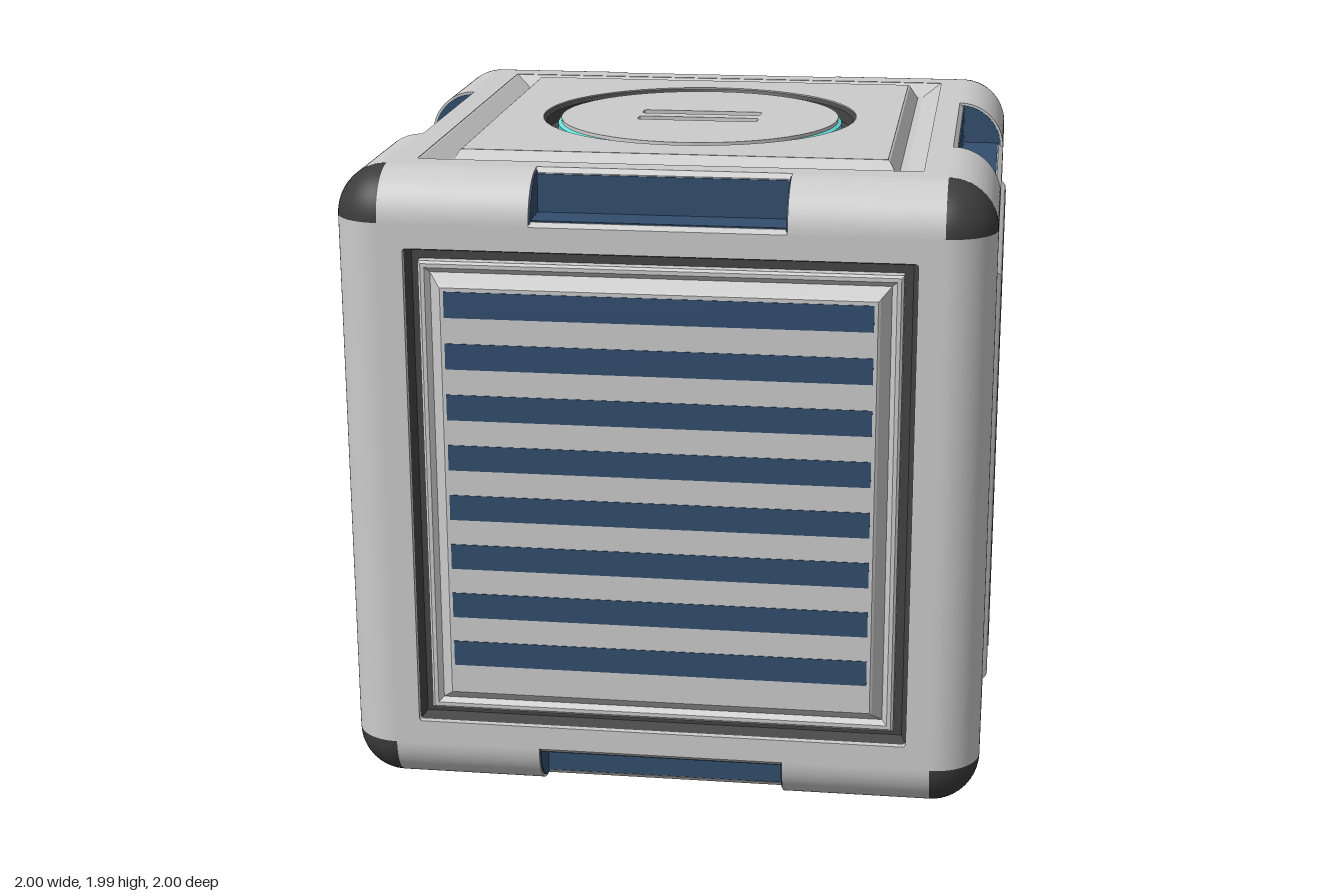
import * as THREE from 'three';
import { toCreasedNormals } from 'three/addons/utils/BufferGeometryUtils.js';

const mat = (color) => new THREE.MeshStandardMaterial({ color, side: THREE.DoubleSide });
const GREY = mat(0xcccccc), DARK = mat(0x444444), CAP = mat(0x3c3c3c), BLUE = mat(0x324e6e), CYAN = mat(0x66e0dd);
const F = 0.985, R = 0.15, C = F - R, POCKET = 0.38, MID = 0.995;

function add(parent, name, geo, material, x = 0, y = 0, z = 0) {
  const m = new THREE.Mesh(geo, material);
  m.name = name;
  m.position.set(x, y, z);
  parent.add(m);
  return m;
}

// Square profile swept round the z axis; points are [half width, height]
function squareLathe(points) {
  const pts = points.map(([w, h]) => new THREE.Vector2(w * Math.SQRT2, h));
  const g = new THREE.LatheGeometry(pts, 4).rotateY(Math.PI / 4).rotateX(Math.PI / 2).toNonIndexed();
  g.computeVertexNormals();
  return g;
}

function roundLathe(points, segments = 48) {
  const g = new THREE.LatheGeometry(points.map((p) => new THREE.Vector2(...p)), segments).rotateX(Math.PI / 2);
  return toCreasedNormals(g, 0.4);
}

function extrude(shape, z0, z1) {
  const g = new THREE.ExtrudeGeometry(shape, { depth: z1 - z0, bevelEnabled: false, curveSegments: 24 });
  return toCreasedNormals(g.translate(0, 0, z0), 0.5);
}

function rectPath(Type, w, h, r, cy = 0) {
  const p = new Type();
  p.moveTo(-w + r, cy - h);
  p.lineTo(w - r, cy - h);
  p.quadraticCurveTo(w, cy - h, w, cy - h + r);
  p.lineTo(w, cy + h - r);
  p.quadraticCurveTo(w, cy + h, w - r, cy + h);
  p.lineTo(-w + r, cy + h);
  p.quadraticCurveTo(-w, cy + h, -w, cy + h - r);
  p.lineTo(-w, cy - h + r);
  p.quadraticCurveTo(-w, cy - h, -w + r, cy - h);
  return p;
}

function polygon(points) {
  return new THREE.Shape(points.map((p) => new THREE.Vector2(...p)));
}

function quarterDisc(r) {
  const s = new THREE.Shape();
  s.moveTo(C, C);
  s.lineTo(C + r, C);
  s.absarc(C, C, r, 0, Math.PI / 2, false);
  s.lineTo(C, C);
  return s;
}

function place(parent, name, rx, ry) {
  const g = new THREE.Group();
  g.name = name;
  g.rotation.set(rx, ry, 0, 'YXZ');
  parent.add(g);
  return g;
}

// Flat square border common to all six faces
function faceFrame() {
  const s = rectPath(THREE.Shape, C, C, 0.001);
  s.holes.push(rectPath(THREE.Path, 0.76, 0.76, 0.012));
  return extrude(s, 0.9, F);
}

// Side face: dark gasket, bevelled panel and eight stripes
function buildSide(face) {
  add(face, 'gasket', squareLathe([[0.765, 0.978], [0.745, 0.93], [0.7, 0.93]]), DARK);
  add(face, 'ventPanel', squareLathe([
    [0.72, 0.92], [0.72, 0.962], [0.712, 0.968], [0.7, 0.968], [0.685, 0.955], [0.655, 0.993], [0.648, 0.998], [0, 0.998],
  ]), GREY);
  const stripe = new THREE.BoxGeometry(1.274, 0.08, 0.02);
  for (let i = 0; i < 8; i++) add(face, 'ventStripe', stripe, BLUE, 0, 0.04 + (i - 3.5) * 0.159, 0.99);
}

const trench = [[0.765, 0.985], [0.755, 0.982], [0.7, 0.945], [0.682, 0.945], [0.655, 0.99], [0.648, MID]];

// Top face: raised panel with a round hatch set in a trench
function buildTop(face) {
  add(face, 'panelBorder', squareLathe(trench), GREY);
  const plate = rectPath(THREE.Shape, 0.649, 0.649, 0.001);
  plate.holes.push(new THREE.Path().absarc(0, 0, 0.51, 0, Math.PI * 2, true));
  add(face, 'topPanel', extrude(plate, 0.92, MID), GREY);
  add(face, 'hatchRim', roundLathe([[0.512, 0.993], [0.5, 0.98], [0.497, 0.945], [0.455, 0.945]]), DARK);
  add(face, 'hatchGlowRing', roundLathe([[0.463, 0.94], [0.463, 0.975], [0.45, 0.982]]), CYAN);
  const disc = new THREE.Shape().absarc(0, 0, 0.452, 0, Math.PI * 2, false);
  for (const y of [-0.055, 0.055]) disc.holes.push(rectPath(THREE.Path, 0.195, 0.028, 0.014, y));
  add(face, 'hatch', extrude(disc, 0.92, 0.992), GREY);
  add(face, 'hatchSlotFloor', new THREE.BoxGeometry(0.44, 0.2, 0.02), BLUE, 0, 0, 0.95);
}

function buildBottom(face) {
  add(face, 'bottomPanel', squareLathe([...trench, [0, MID]]), GREY);
}

export function createModel() {
  const model = new THREE.Group();
  model.name = 'crate';
  const body = new THREE.Group();
  body.name = 'body';
  body.position.y = MID;
  model.add(body);

  // Faces
  const frameGeo = faceFrame();
  const H = Math.PI / 2;
  const faces = [
    ['front', 0, 0, buildSide], ['left', 0, H, buildSide], ['back', 0, 2 * H, buildSide],
    ['right', 0, 3 * H, buildSide], ['top', -H, 0, buildTop], ['bottom', H, 0, buildBottom],
  ];
  for (const [name, rx, ry, build] of faces) {
    const face = place(body, name + 'Face', rx, ry);
    add(face, 'faceFrame', frameGeo, GREY);
    build(face);
  }

  // Rounded edges: plain uprights, pocketed top and bottom rails
  const upright = extrude(quarterDisc(R), -C, C);
  const railEnd = extrude(quarterDisc(R), POCKET, C);
  const railEnd2 = extrude(quarterDisc(R), -C, -POCKET);
  const lip = extrude(polygon([
    [C, C], [F, C], [0.97, 0.848], [0.848, 0.848], [0.848, 0.97], [C, F],
  ]), -POCKET, POCKET);
  const lining = extrude(polygon([
    [0.84, 0.84], [0.967, 0.84], [0.967, 0.852], [0.852, 0.852], [0.852, 0.967], [0.84, 0.967],
  ]), -POCKET, POCKET);
  const liningEnd = quarterDisc(R - 0.008);
  const ends = [extrude(liningEnd, -POCKET - 0.002, -POCKET + 0.004), extrude(liningEnd, POCKET - 0.004, POCKET + 0.002)];
  for (let k = 0; k < 4; k++) {
    add(place(body, 'uprightEdge', H, k * H), 'upright', upright, GREY);
    for (const [name, rx] of [['topRail', 0], ['bottomRail', Math.PI]]) {
      const rail = place(body, name, rx, k * H);
      add(rail, 'railEnd', railEnd, GREY);
      add(rail, 'railEnd', railEnd2, GREY);
      add(rail, 'pocketLip', lip, GREY);
      add(rail, 'pocketLining', lining, BLUE);
      for (const g of ends) add(rail, 'pocketEnd', g, BLUE);
    }
  }

  // Dark corner caps
  const cap = new THREE.SphereGeometry(R, 48, 24);
  for (const x of [-C, C]) for (const y of [-C, C]) for (const z of [-C, C]) add(body, 'cornerCap', cap, CAP, x, y, z);
  return model;
}
